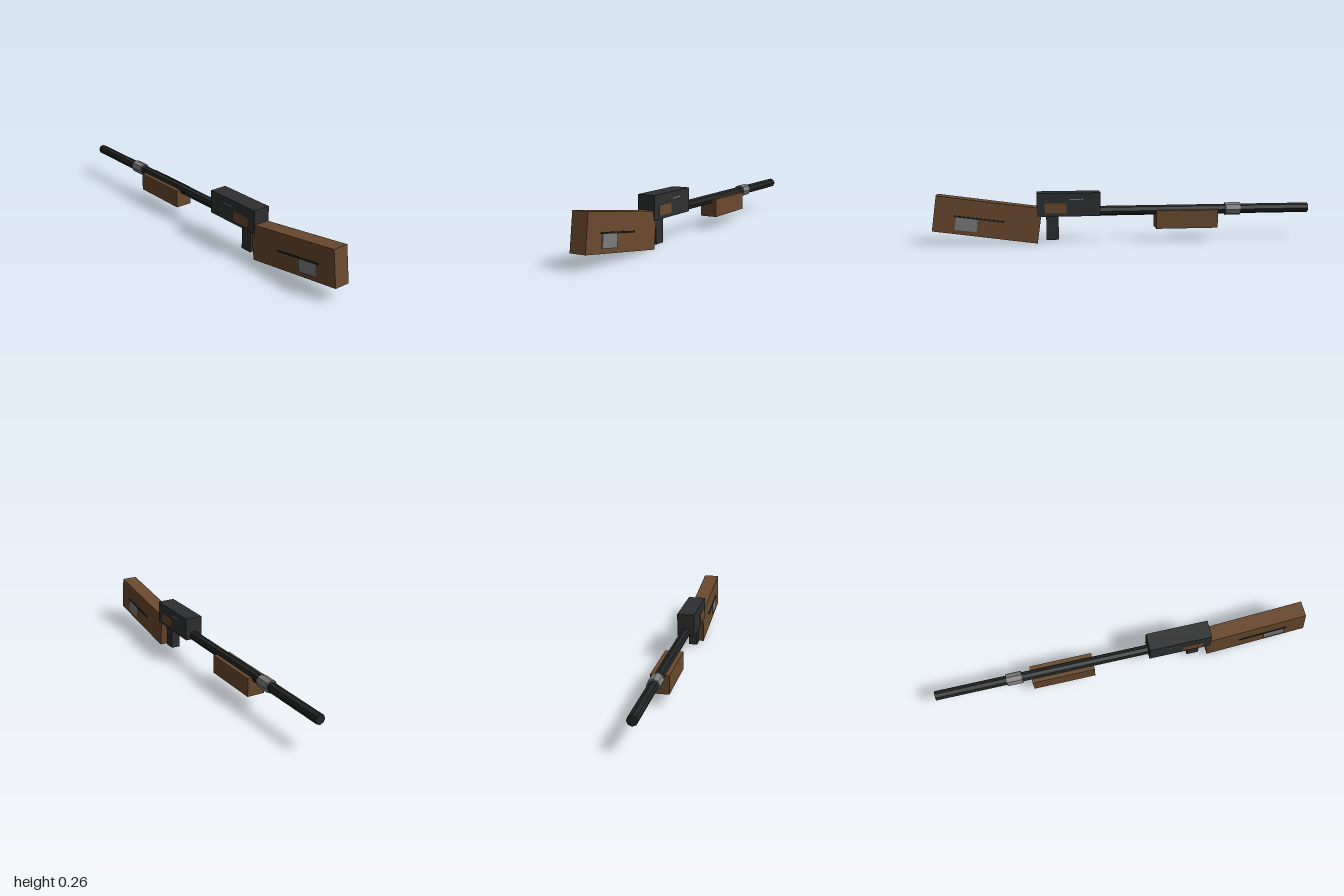
import * as THREE from 'three';

function material(name, color) {
  const m = new THREE.MeshStandardMaterial({ color, flatShading: true });
  m.name = name;
  return m;
}

export function createModel() {
  const wood = material('brown wood', 0x6b4a2e);
  const gunmetal = material('receiver grey', 0x2e2f30);
  const dark = material('barrel black', 0x222424);
  const steel = material('bare steel', 0x7c7c7c);

  const model = new THREE.Group();
  model.name = 'longGun';

  function add(name, geometry, mat, x, y, z, parent = model) {
    const mesh = new THREE.Mesh(geometry, mat);
    mesh.name = name;
    mesh.position.set(x, y, z);
    parent.add(mesh);
    return mesh;
  }
  const box = (w, h, d) => new THREE.BoxGeometry(w, h, d);
  const tube = (r, length) => new THREE.CylinderGeometry(r, r, length, 8).rotateX(Math.PI / 2);

  // Thin plate repeated on both sides
  function sidePlates(name, x, y, z, t, h, d, mat, parent) {
    for (const s of [1, -1]) add(name + (s > 0 ? 'Left' : 'Right'), box(t, h, d), mat, s * x, y, z, parent);
  }

  // Tilted stock with a metal plate and a dark groove on each side
  const stock = new THREE.Group();
  stock.name = 'stock';
  stock.position.set(0, 0.135, 0.72);
  stock.rotation.x = -0.139;
  model.add(stock);
  add('stockBody', box(0.084, 0.186, 0.545), wood, 0, 0, 0, stock);
  sidePlates('stockPlate', 0.0425, -0.035, 0.103, 0.007, 0.07, 0.113, steel, stock);
  sidePlates('stockGroove', 0.0425, -0.001, 0.043, 0.008, 0.008, 0.26, dark, stock);

  // Receiver, its inlays and the grip
  add('receiver', box(0.094, 0.123, 0.332), gunmetal, 0, 0.208, 0.299);
  sidePlates('receiverInlay', 0.0465, 0.19, 0.368, 0.004, 0.052, 0.112, wood);
  sidePlates('receiverMark', 0.0465, 0.236, 0.26, 0.004, 0.006, 0.07, steel);
  add('grip', box(0.048, 0.13, 0.064), gunmetal, 0, 0.085, 0.384);

  // Barrel, clamp ring and fore-end
  add('barrel', tube(0.026, 1.15), dark, 0, 0.167, -0.425);
  add('barrelRing', tube(0.034, 0.082), steel, 0, 0.167, -0.583);
  add('foreEnd', box(0.094, 0.097, 0.332), wood, 0, 0.12, -0.329);

  return model;
}
